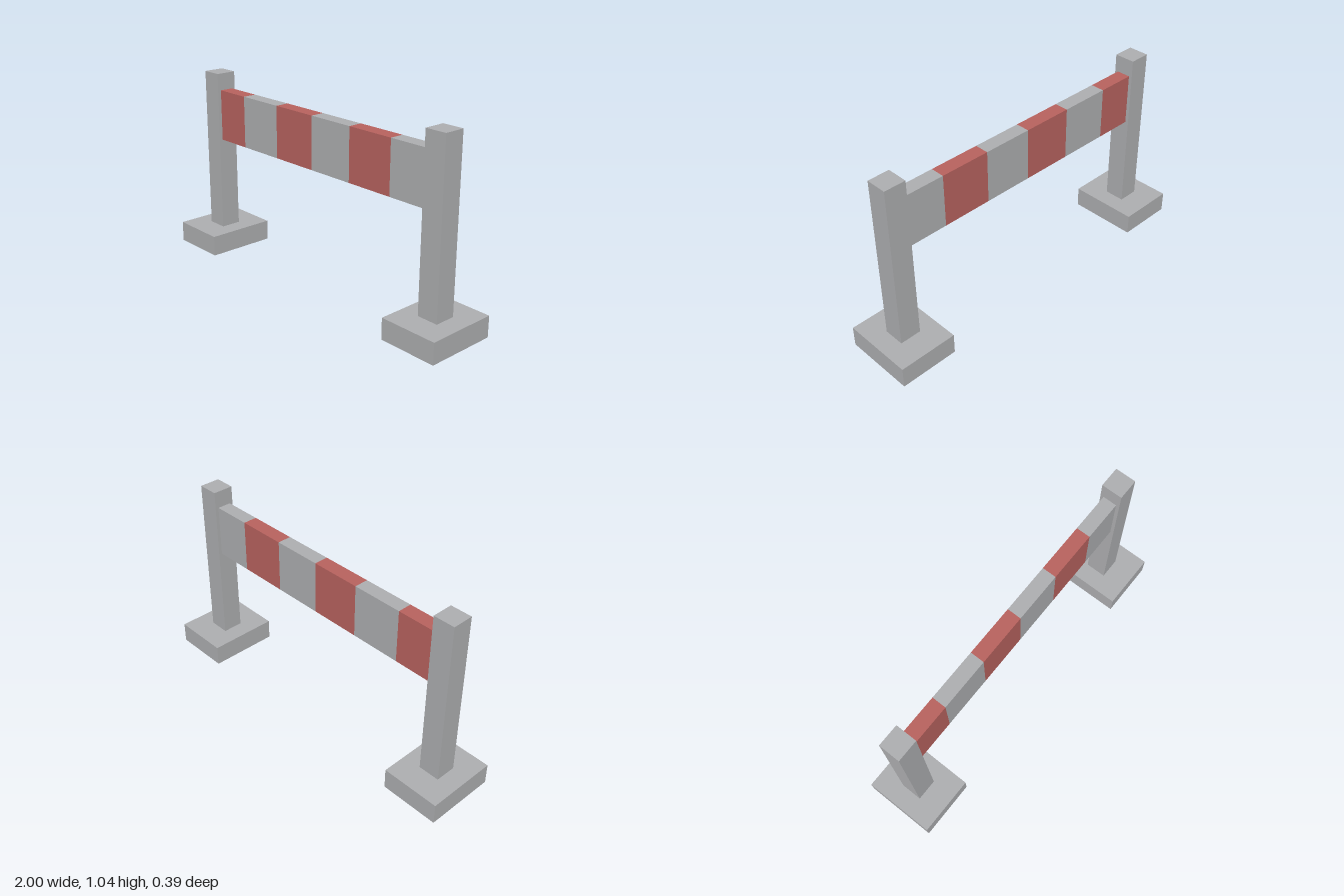
import * as THREE from 'three';

const grey = new THREE.MeshStandardMaterial({ color: 0xaeafb1 });
grey.name = 'concrete grey';
const red = new THREE.MeshStandardMaterial({ color: 0xb9635f });
red.name = 'warning red';

// Box given by its x and y ranges and its depth, centred on z = 0
function block(name, x0, x1, y0, y1, depth, material) {
  const mesh = new THREE.Mesh(new THREE.BoxGeometry(x1 - x0, y1 - y0, depth), material);
  mesh.position.set((x0 + x1) / 2, (y0 + y1) / 2, 0);
  mesh.name = name;
  return mesh;
}

export function createModel() {
  const model = new THREE.Group();
  model.name = 'barrier';

  // Square posts standing on heavy feet
  for (const [side, s] of [['left', 1], ['right', -1]]) {
    const support = new THREE.Group();
    support.name = side + 'Support';
    const foot = block(side + 'Foot', 0.676, 1, 0, 0.116, 0.394, grey);
    const post = block(side + 'Post', 0.777, 0.895, 0.116, 1.036, 0.116, grey);
    for (const part of [foot, post]) {
      part.position.x *= s;
      support.add(part);
    }
    model.add(support);
  }

  // Striped board between the posts, alternating red and grey
  const board = new THREE.Group();
  board.name = 'stripedBoard';
  const edges = [-0.777, -0.562, -0.281, 0, 0.276, 0.553, 0.777];
  for (let i = 0; i < edges.length - 1; i++) {
    const isRed = i % 2 === 0;
    board.add(block((isRed ? 'redStripe' : 'greyStripe') + (i + 1),
      edges[i], edges[i + 1], 0.65, 0.94, 0.078, isRed ? red : grey));
  }
  model.add(board);

  return model;
}
